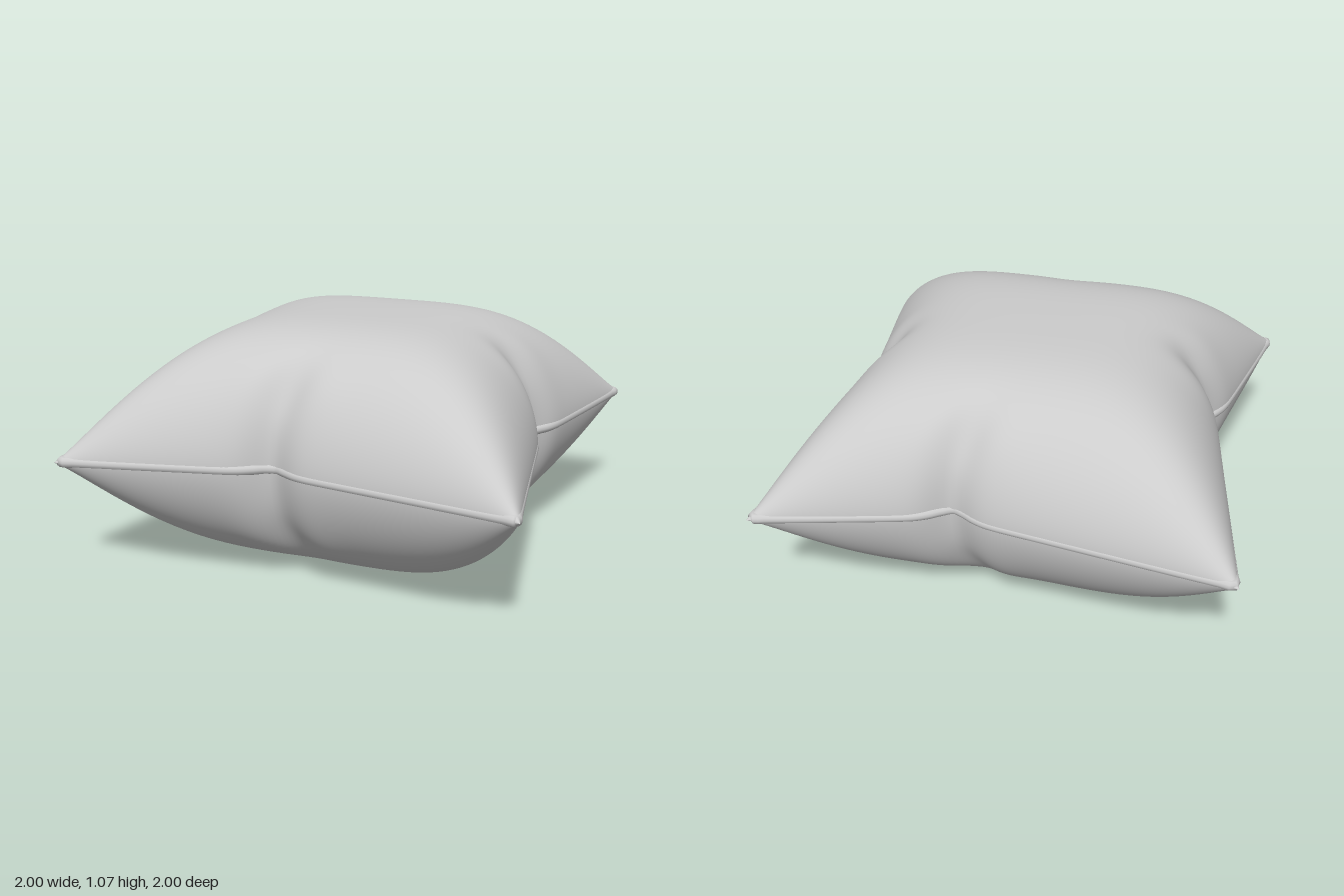
import * as THREE from 'three';

const HALF = 0.535;   // half thickness
const MID = 0.8;      // inset of each side at its pinch
const SEAM_R = 0.024;

// pinch = where the side is gathered; start / end = reach at the -1 and +1 corners
const SIDES = {
  front: { pinch: -0.12, start: 1.0, end: 0.96 },
  back: { pinch: 0.2, start: 0.97, end: 1.0 },
  right: { pinch: -0.13, start: 1.0, end: 0.97 },
  left: { pinch: 0.16, start: 1.0, end: 1.0 },
};

const bell = (q) => Math.exp(-q * q);

// Reach of a side at s along it, t = 0 at the cushion's centre line, 1 at the seam
function reach(side, s, t, lean) {
  const e = s - side.pinch;
  const d = e - lean * 0.5 * (1 - t);
  const k = e < 0 ? -e / (1 + side.pinch) : e / (1 - side.pinch);
  const corner = e < 0 ? side.start : side.end;
  const edge = MID + (corner - MID) * k - 0.05 * bell(d / 0.1);
  const core = MID + 0.02 + 0.16 * s * s;
  return THREE.MathUtils.lerp(core, edge, t ** 5);
}

// Dimple running inward from the pinch, with a soft swelling on each side
function dimple(side, s, t, lean) {
  const q = (s - side.pinch - lean * 0.5 * (1 - t)) / 0.1;
  return (bell(q) - 0.2 * bell(q - 1.7) - 0.2 * bell(q + 1.7)) * bell((t - 0.9) / 0.13);
}

// Point of the upper (dir = 1) or lower (dir = -1) cover
function coverPoint(u, v, dir) {
  const sx = u < 0 ? SIDES.left : SIDES.right;
  const sz = v < 0 ? SIDES.back : SIDES.front;
  const a = Math.abs(u), b = Math.abs(v);
  const leanX = u < 0 ? -0.5 : 0.5;
  const leanZ = v < 0 ? -0.5 : 0.5;
  // Steep at the sides, straight ridges at the corners, slightly domed in the middle
  const puff = Math.max(0, (1 - a ** 4) * (1 - b ** 4)) ** 0.6 * (1 - 0.04 * (u * u + v * v));
  const dent = dimple(sx, v, a, leanX) + dimple(sz, u, b, leanZ);
  return new THREE.Vector3(
    u * reach(sx, v, a, leanX),
    HALF + dir * HALF * puff * (1 - 0.12 * dent),
    v * reach(sz, u, b, leanZ),
  );
}

function cover(dir) {
  const geo = new THREE.PlaneGeometry(2, 2, 120, 120).rotateX(-dir * Math.PI / 2);
  const pos = geo.attributes.position;
  // Rows crowd toward the seam, where the cover curves most
  const ease = (s) => Math.sin(THREE.MathUtils.clamp(s, -1, 1) * Math.PI / 2);
  for (let i = 0; i < pos.count; i++) {
    const p = coverPoint(ease(pos.getX(i)), ease(pos.getZ(i)), dir);
    pos.setXYZ(i, p.x, p.y, p.z);
  }
  geo.computeVertexNormals();
  return geo;
}

// Thin rounded seam following the four sides
function seam() {
  const pts = [];
  const n = 40;
  for (let side = 0; side < 4; side++) {
    for (let i = 0; i < n; i++) {
      const s = -1 + (2 * i) / n;
      const [u, v] = [[s, 1], [1, -s], [-s, -1], [-1, s]][side];
      const p = coverPoint(u, v, 1);
      pts.push(new THREE.Vector3(p.x * 0.976, HALF, p.z * 0.976));
    }
  }
  const path = new THREE.CatmullRomCurve3(pts, true, 'centripetal');
  return new THREE.TubeGeometry(path, 480, SEAM_R, 12, true);
}

export function createModel() {
  const group = new THREE.Group();
  group.name = 'cushion';
  const material = new THREE.MeshStandardMaterial({ color: 0xcccccc });
  const add = (name, geo) => {
    const mesh = new THREE.Mesh(geo, material);
    mesh.name = name;
    group.add(mesh);
  };
  add('upperCover', cover(1));
  add('lowerCover', cover(-1));
  add('seam', seam());
  return group;
}
